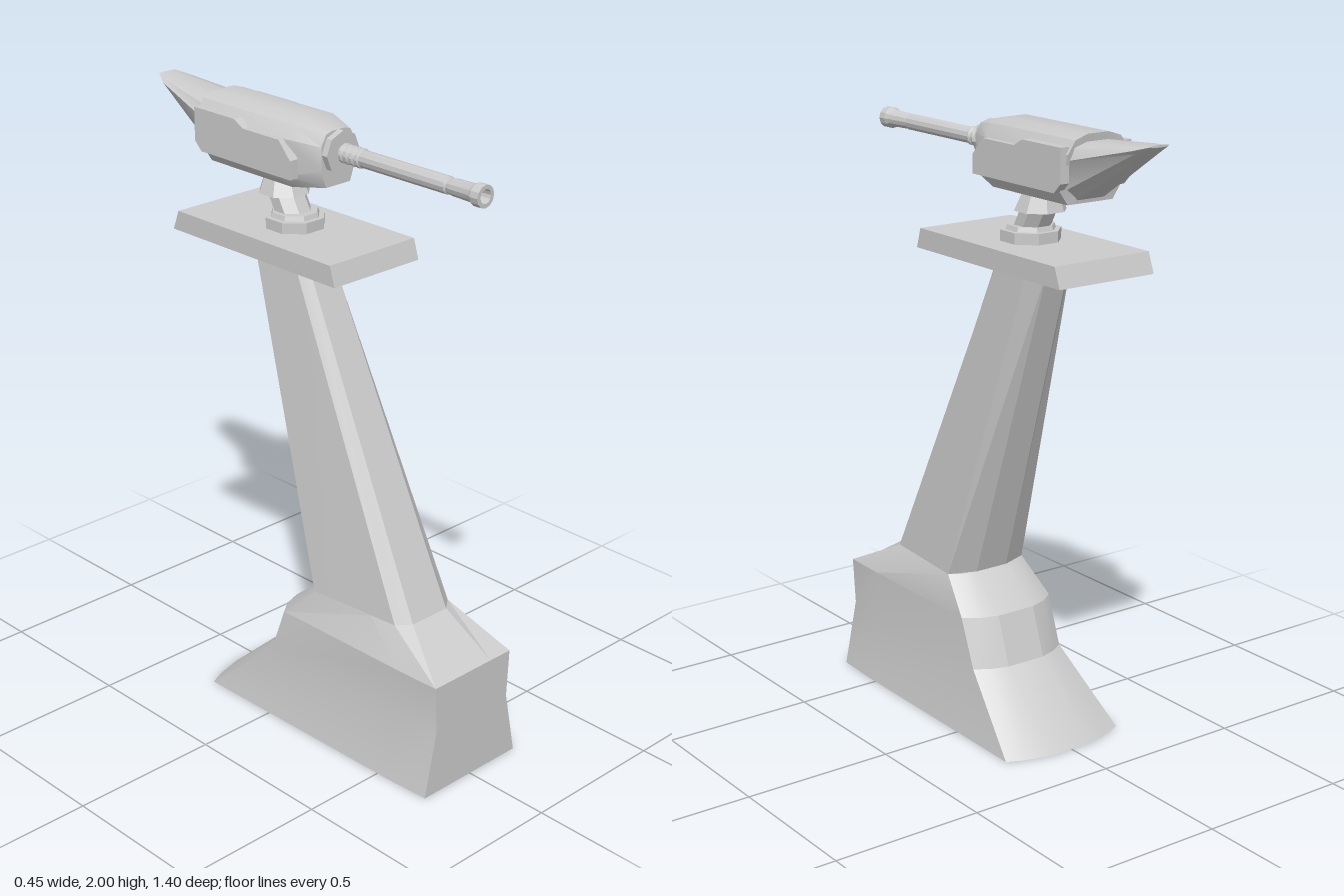
import * as THREE from 'three';
import { toCreasedNormals } from 'three/addons/utils/BufferGeometryUtils.js';

const material = new THREE.MeshStandardMaterial({ color: 0xcccccc });

function part(name, geometry, crease = 0.4) {
  const mesh = new THREE.Mesh(toCreasedNormals(geometry, crease), material);
  mesh.name = name;
  return mesh;
}

// Skin a stack of closed rings of Vector3 and cap both ends
function loft(rings) {
  const n = rings[0].length;
  const pos = [];
  const tri = (a, b, c) => [a, b, c].forEach(p => pos.push(p.x, p.y, p.z));
  for (let r = 0; r < rings.length - 1; r++) {
    for (let i = 0; i < n; i++) {
      const j = (i + 1) % n, a = rings[r], b = rings[r + 1];
      tri(a[i], a[j], b[j]);
      tri(a[i], b[j], b[i]);
    }
  }
  const first = rings[0], last = rings[rings.length - 1];
  const middle = ring => ring.reduce((s, p) => s.add(p), new THREE.Vector3()).divideScalar(n);
  const c0 = middle(first), c1 = middle(last);
  for (let i = 0; i < n; i++) {
    const j = (i + 1) % n;
    tri(c0, first[j], first[i]);
    tri(c1, last[i], last[j]);
  }
  const g = new THREE.BufferGeometry();
  g.setAttribute('position', new THREE.Float32BufferAttribute(pos, 3));
  g.computeVertexNormals();
  return g;
}

// Complete a half outline on +x with its mirror image
const mirrored = half => [...half, ...half.map(p => new THREE.Vector3(-p.x, p.y, p.z)).reverse()];
// Horizontal ring: [x, z] pairs from front to back
const levelRing = (y, pts) => mirrored(pts.map(([x, z]) => new THREE.Vector3(x, y, z)));
// Upright ring: [x, y] pairs from bottom to top
const uprightRing = (z, pts) => mirrored(pts.map(([x, y]) => new THREE.Vector3(x, y, z)));

// Extrude a side profile of [z, y] pairs across x
function sideExtrude(pts, x0, x1) {
  const shape = new THREE.Shape(pts.map(([z, y]) => new THREE.Vector2(-z, y)));
  const g = new THREE.ExtrudeGeometry(shape, { depth: x1 - x0, bevelEnabled: false });
  return g.rotateY(Math.PI / 2).translate(x0, 0, 0);
}

// Lathe of [radius, z] pairs around the gun axis
function gunLathe(pts, sides) {
  const g = new THREE.LatheGeometry(pts.map(([r, z]) => new THREE.Vector2(r, z)), sides);
  return g.rotateX(Math.PI / 2).translate(0, 1.91, 0);
}

export function createModel() {
  const model = new THREE.Group();
  model.name = 'turretTower';

  // Flared foot with a chamfered heel
  model.add(part('foot', loft([
    levelRing(0, [[0.1, 0.7], [0.205, 0.7], [0.213, 0.54], [0.225, -0.275], [0.17, -0.3], [0.08, -0.325]]),
    levelRing(0.22, [[0.08, 0.7], [0.16, 0.7], [0.173, 0.54], [0.176, -0.03], [0.13, -0.06], [0.07, -0.08]]),
    levelRing(0.38, [[0.08, 0.7], [0.168, 0.7], [0.173, 0.54], [0.178, 0.03], [0.13, -0.005], [0.07, -0.025]]),
    levelRing(0.49, [[0.075, 0.51], [0.12, 0.475], [0.13, 0.38], [0.15, 0.145], [0.11, 0.12], [0.06, 0.11]]),
  ]), 0.3));

  // Leaning, tapering column
  model.add(part('column', loft([
    levelRing(0.49, [[0.075, 0.51], [0.12, 0.475], [0.15, 0.145], [0.06, 0.11]]),
    levelRing(1.57, [[0.05, 0], [0.075, -0.035], [0.085, -0.195], [0.04, -0.24]]),
  ]), 0.3));

  // Platform with raked ends
  model.add(part('platform', sideExtrude(
    [[0.26, 1.565], [-0.475, 1.565], [-0.45, 1.63], [0.24, 1.63]], -0.178, 0.178)));

  // Swivel mount: stepped flange, leaning neck and cone
  const swivel = new THREE.Group();
  swivel.name = 'swivelMount';
  const slice = (r, y, z) => Array.from({ length: 8 }, (_, i) => {
    const a = (i + 0.5) * Math.PI / 4;
    return new THREE.Vector3(Math.sin(a) * r, y, z + Math.cos(a) * r);
  });
  swivel.add(part('flange', loft([slice(0.097, 1.63, -0.1), slice(0.097, 1.665, -0.1)])));
  swivel.add(part('flangeStep', loft([slice(0.08, 1.665, -0.1), slice(0.075, 1.68, -0.1)])));
  swivel.add(part('neck', loft([slice(0.06, 1.66, -0.1), slice(0.06, 1.74, -0.145)])));
  swivel.add(part('neckCone', loft([slice(0.083, 1.73, -0.148), slice(0.055, 1.8, -0.155)])));
  model.add(swivel);

  // Gun housing with a tapered nose
  const hull = [[0.03, 1.79], [0.085, 1.79], [0.112, 1.83], [0.112, 1.945], [0.085, 1.985], [0.04, 2]];
  model.add(part('housing', loft([
    uprightRing(-0.39, hull).map(p => p.setZ(p.y > 1.9 ? -0.425 : -0.39)),
    uprightRing(-0.02, hull),
    uprightRing(0.09, [[0.025, 1.805], [0.05, 1.805], [0.07, 1.86], [0.07, 1.935], [0.05, 1.97], [0.025, 1.977]]),
  ]), 0.5));

  // Swept tail spike
  model.add(part('tail', loft([
    uprightRing(-0.7, [[0.015, 1.993], [0.03, 1.994], [0.035, 1.997], [0.03, 1.999], [0.015, 2]]),
    uprightRing(-0.65, [[0.025, 1.962], [0.05, 1.972], [0.06, 1.982], [0.05, 1.99], [0.025, 1.996]]),
    uprightRing(-0.39, [[0.05, 1.8], [0.09, 1.835], [0.107, 1.92], [0.09, 1.96], [0.04, 1.974]]),
  ]), 0.6));

  // Side armour strips
  const strip = [[0.02, 1.83], [-0.385, 1.83], [-0.415, 1.86], [-0.415, 1.967],
    [-0.23, 1.967], [-0.19, 1.945], [-0.03, 1.945], [0.02, 1.89]];
  for (const [name, x] of [['leftArmour', 0.1], ['rightArmour', -0.132]]) {
    model.add(part(name, sideExtrude(strip, x, x + 0.032)));
  }

  // Collar, ribbed sleeve, barrel and hollow muzzle
  model.add(part('collar', gunLathe([[0, 0.08], [0.068, 0.08], [0.068, 0.112], [0.04, 0.112], [0, 0.112]], 8)));
  const ribs = [[0.024, 0.1]];
  for (let i = 0; i < 4; i++) {
    const z = 0.115 + i * 0.023;
    ribs.push([0.024, z], [0.031, z + 0.005], [0.031, z + 0.013], [0.024, z + 0.018]);
  }
  model.add(part('ribbedSleeve', gunLathe(ribs, 12)));
  model.add(part('barrel', gunLathe([[0, 0.19], [0.023, 0.19], [0.027, 0.205], [0.027, 0.545], [0.02, 0.55], [0, 0.55]], 12)));
  model.add(part('muzzle', gunLathe([[0, 0.545], [0.02, 0.545], [0.026, 0.565], [0.028, 0.64], [0.035, 0.655],
    [0.035, 0.685], [0.022, 0.685], [0.018, 0.6], [0, 0.6]], 12)));

  return model;
}
